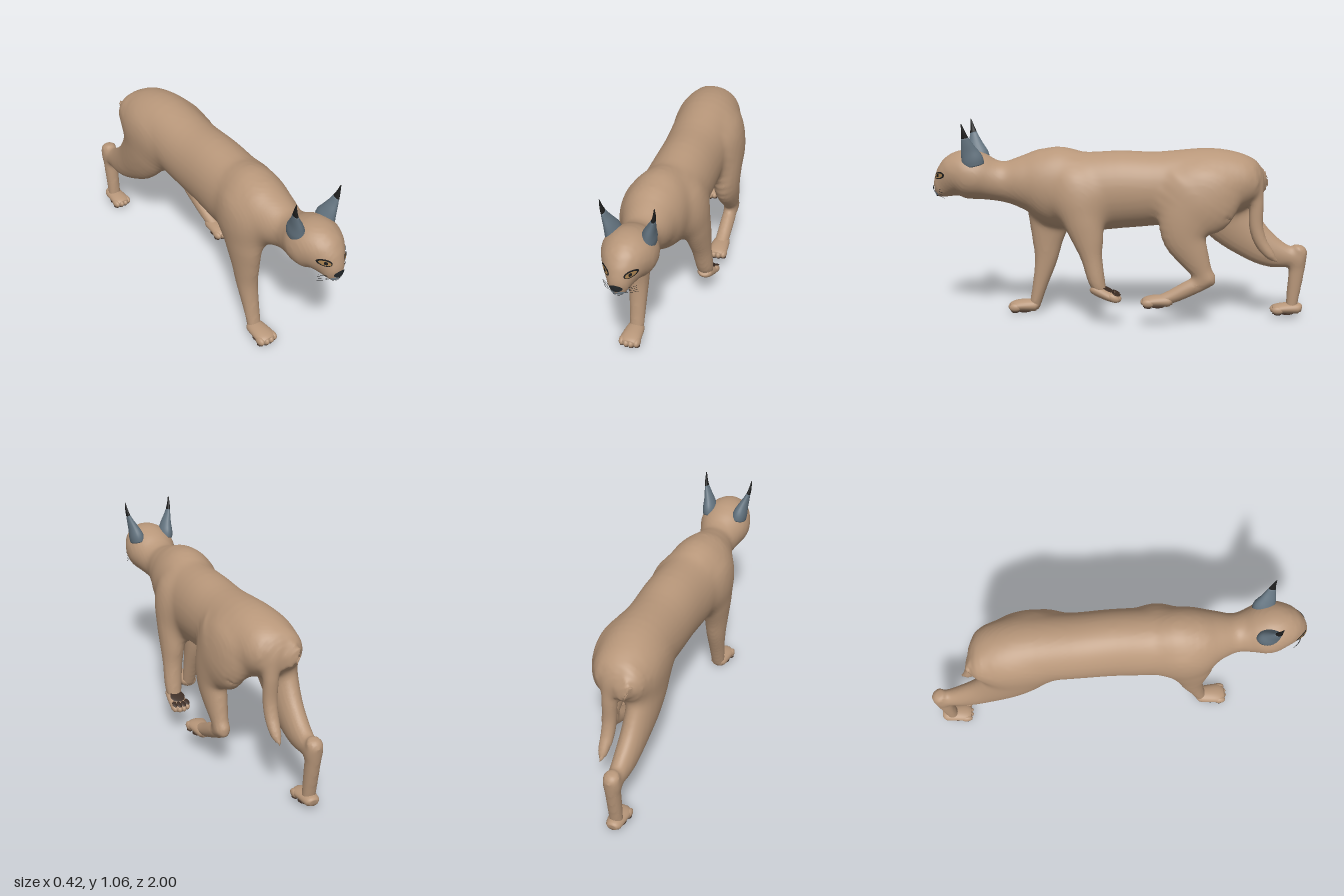
import * as THREE from 'three';

const mat = (name, color, side = THREE.FrontSide) => {
  const m = new THREE.MeshStandardMaterial({ color, side });
  m.name = name;
  return m;
};

function makeGeometry(pos, index) {
  const g = new THREE.BufferGeometry();
  g.setAttribute('position', new THREE.Float32BufferAttribute(pos, 3));
  g.setIndex(index);
  g.computeVertexNormals();
  return g;
}

// Smooth rings through stations [x, y, z, halfWidth, halfHeight]
function sections(stations, n) {
  const spline = (pts) => new THREE.CatmullRomCurve3(pts, false, 'catmullrom', 0.5);
  const path = spline(stations.map((s) => new THREE.Vector3(s[0], s[1], s[2])));
  const size = spline(stations.map((s) => new THREE.Vector3(s[3], s[4], 0)));
  return Array.from({ length: n + 1 }, (_, i) => {
    const r = size.getPoint(i / n);
    return { c: path.getPoint(i / n), dir: path.getTangent(i / n), w: Math.max(r.x, 0.002), h: Math.max(r.y, 0.002) };
  });
}

function frame(dir) {
  const up = dir.clone().cross(new THREE.Vector3(1, 0, 0)).normalize();
  return { up, side: up.clone().cross(dir).normalize() };
}

// Closed tube over the rings, for small separate parts
function loft(stations, rings = 20, sides = 24) {
  const list = sections(stations, rings), pos = [], index = [];
  list.forEach(({ c, dir, w, h }, i) => {
    const { up, side } = frame(dir);
    for (let j = 0; j < sides; j++) {
      const a = (j / sides) * Math.PI * 2, k = (j + 1) % sides, p = i * sides, q = p + sides;
      pos.push(...c.clone().addScaledVector(side, w * Math.cos(a)).addScaledVector(up, h * Math.sin(a)));
      if (i < rings) index.push(p + j, p + k, q + j, p + k, q + k, q + j);
    }
  });
  const n = pos.length / 3, e = rings * sides;
  pos.push(...list[0].c, ...list[rings].c);
  for (let j = 0; j < sides; j++) index.push(n, (j + 1) % sides, j, n + 1, e + j, e + ((j + 1) % sides));
  return makeGeometry(pos, index);
}

// Distance to the same kind of tube, so that several can melt into one skin
function tubeField(stations, n) {
  const list = sections(stations, n), box = new THREE.Box3();
  list.forEach((s) => box.union(new THREE.Box3().setFromCenterAndSize(s.c, new THREE.Vector3().setScalar(2 * Math.max(s.w, s.h)))));
  box.expandByScalar(0.07);
  const segments = list.slice(1).map((b, i) => {
    const a = list[i], d = b.c.clone().sub(a.c), len = d.length(), dir = d.normalize();
    return { a, b, len, dir, ...frame(dir) };
  });
  const rel = new THREE.Vector3(), over = 0.01;
  return (p) => {
    if (!box.containsPoint(p)) return 1;
    let best = 1;
    for (const { a, b, len, dir, up, side } of segments) {
      rel.subVectors(p, a.c);
      const along = rel.dot(dir), l = Math.min(Math.max(along, -over), len + over), gap = Math.abs(along - l);
      if (gap >= best || gap > 0.1) continue;
      const t = l / len, w = Math.max(a.w + (b.w - a.w) * t, 0.004), h = Math.max(a.h + (b.h - a.h) * t, 0.004);
      const s = rel.dot(side) / w, u = rel.dot(up) / h;
      const k = Math.sqrt(s * s + u * u), g = Math.sqrt((s / w) ** 2 + (u / h) ** 2) + 1e-6;
      const d = (k * (k - 1)) / g;
      best = Math.min(best, gap > 0 ? Math.hypot(Math.max(d, 0), gap) : d);
    }
    return best;
  };
}

// One smooth skin around a field, by surface nets on a regular grid
function skin(field, min, max, step) {
  const n = min.map((v, i) => Math.ceil((max[i] - v) / step) + 1), S = [1, n[0], n[0] * n[1]];
  const f = new Float32Array(n[0] * n[1] * n[2]), vertex = new Int32Array(f.length), p = new THREE.Vector3();
  const each = (end, fn) => {
    for (let k = 0; k < n[2] - end; k++) for (let j = 0; j < n[1] - end; j++)
      for (let i = 0; i < n[0] - end; i++) fn(i, j, k, i + j * S[1] + k * S[2]);
  };
  each(0, (i, j, k, o) => { f[o] = field(p.set(min[0] + i * step, min[1] + j * step, min[2] + k * step)); });
  const pos = [], index = [], sum = [0, 0, 0];
  each(1, (i, j, k, o) => {
    let hits = 0;
    sum.fill(0);
    for (let a = 0; a < 3; a++) for (let c = 0; c < 4; c++) {
      const b = (a + 1) % 3, d = (a + 2) % 3, u = c & 1, v = c >> 1;
      const from = f[o + u * S[b] + v * S[d]], to = f[o + u * S[b] + v * S[d] + S[a]];
      if (from < 0 === to < 0) continue;
      sum[a] += from / (from - to); sum[b] += u; sum[d] += v; hits++;
    }
    if (!hits) return;
    vertex[o] = pos.length / 3;
    [i, j, k].forEach((g, a) => pos.push(min[a] + (g + sum[a] / hits) * step));
    for (let a = 0; a < 3; a++) {
      if (f[o] < 0 === f[o + S[a]] < 0) continue;
      const b = S[(a + 1) % 3], d = S[(a + 2) % 3];
      const q = [o, o - b, o - b - d, o - d].map((c) => vertex[c]);
      if (f[o] >= 0) q.reverse();
      index.push(q[0], q[1], q[2], q[0], q[2], q[3]);
    }
  });
  // Relax the grid pattern
  for (let pass = 0; pass < 3; pass++) {
    const acc = new Float32Array(pos.length), count = new Float32Array(pos.length / 3);
    index.forEach((a, m) => {
      const b = index[m % 3 === 2 ? m - 2 : m + 1];
      for (let c = 0; c < 3; c++) acc[a * 3 + c] += pos[b * 3 + c];
      count[a]++;
    });
    for (let m = 0; m < pos.length; m++) pos[m] = (pos[m] + acc[m] / count[Math.floor(m / 3)]) / 2;
  }
  return makeGeometry(pos, index);
}

export function createModel() {
  const model = new THREE.Group();
  model.name = 'wildCat';
  const fur = mat('tan fur', 0xb8977a), grey = mat('ear grey', 0x647480);
  const black = mat('black', 0x1d1d1d, THREE.DoubleSide), nose = mat('nose', 0x23282b);
  const pale = mat('pale muzzle', 0x8996a0), amber = mat('amber eye', 0xa98250), pad = mat('paw pad', 0x3b2b22);
  const add = (name, geometry, material, parent = model) => {
    const m = new THREE.Mesh(geometry, material);
    m.name = name;
    parent.add(m);
    return m;
  };

  // Tubes melt into the skin one after another
  let field = () => 1;
  const melt = (blend, stations, n = 26) => {
    const base = field, tube = tubeField(stations, n);
    field = (p) => {
      const d = base(p), e = tube(p), h = Math.max(blend - Math.abs(d - e), 0);
      return Math.min(d, e) - (d < 1 ? (h * h) / (4 * blend) : 0);
    };
  };
  // Trunk along z: z, top, bottom, centre x, half width
  const trunk = (row) => [row[3], (row[1] + row[2]) / 2, row[0], row[4], (row[1] - row[2]) / 2];
  const torso = [
    [-0.75, 0.79, 0.73, -0.04, 0.03], [-0.735, 0.825, 0.69, -0.045, 0.085], [-0.69, 0.875, 0.64, -0.045, 0.13],
    [-0.6, 0.912, 0.595, -0.03, 0.162], [-0.45, 0.929, 0.56, -0.015, 0.172], [-0.2, 0.908, 0.52, -0.012, 0.167],
    [0, 0.912, 0.5, -0.01, 0.168], [0.2, 0.902, 0.483, -0.016, 0.17], [0.35, 0.929, 0.508, -0.03, 0.165],
    [0.44, 0.915, 0.55, -0.035, 0.155]].map(trunk);
  const neckAndHead = [
    [0.53, 0.878, 0.595, -0.03, 0.128], [0.62, 0.847, 0.628, -0.025, 0.101], [0.69, 0.857, 0.638, -0.023, 0.112],
    [0.76, 0.891, 0.641, -0.022, 0.134], [0.82, 0.908, 0.646, -0.022, 0.134], [0.87, 0.89, 0.648, -0.022, 0.117],
    [0.91, 0.848, 0.645, -0.022, 0.093], [0.945, 0.795, 0.643, -0.022, 0.067], [0.975, 0.75, 0.648, -0.022, 0.046],
    [0.992, 0.725, 0.668, -0.022, 0.026]].map(trunk);
  melt(0.01, torso.concat(neckAndHead), 70);
  // Right front leg
  melt(0.055, [
    [-0.08, 0.84, 0.33, 0.03, 0.04], [-0.105, 0.77, 0.34, 0.08, 0.1], [-0.122, 0.67, 0.365, 0.088, 0.14],
    [-0.127, 0.55, 0.39, 0.077, 0.125], [-0.124, 0.42, 0.407, 0.064, 0.088], [-0.12, 0.3, 0.417, 0.054, 0.063],
    [-0.116, 0.16, 0.45, 0.044, 0.042], [-0.115, 0.03, 0.483, 0.038, 0.03]]);
  // Left front leg, lifted
  melt(0.055, [
    [0.055, 0.82, 0.24, 0.03, 0.04], [0.08, 0.76, 0.235, 0.07, 0.085], [0.103, 0.67, 0.22, 0.08, 0.115],
    [0.118, 0.56, 0.19, 0.074, 0.104], [0.129, 0.46, 0.163, 0.063, 0.082], [0.138, 0.36, 0.142, 0.052, 0.056],
    [0.148, 0.24, 0.115, 0.046, 0.044], [0.15, 0.178, 0.085, 0.034, 0.025]]);
  // Left hind leg, then its hock and foot
  melt(0.055, [
    [0.06, 0.83, -0.49, 0.03, 0.05], [0.09, 0.77, -0.47, 0.078, 0.14], [0.115, 0.68, -0.43, 0.088, 0.19],
    [0.128, 0.59, -0.36, 0.08, 0.16], [0.138, 0.49, -0.34, 0.068, 0.118], [0.14, 0.38, -0.39, 0.055, 0.082],
    [0.14, 0.262, -0.455, 0.036, 0.042]]);
  melt(0.025, [
    [0.14, 0.28, -0.49, 0.022, 0.018], [0.14, 0.26, -0.465, 0.034, 0.04], [0.14, 0.212, -0.37, 0.038, 0.043],
    [0.14, 0.162, -0.27, 0.038, 0.036], [0.14, 0.138, -0.19, 0.036, 0.024]]);
  // Right hind leg, trailing, then its hock and foot
  melt(0.055, [
    [-0.07, 0.83, -0.45, 0.03, 0.05], [-0.095, 0.77, -0.47, 0.075, 0.13], [-0.114, 0.66, -0.51, 0.083, 0.18],
    [-0.115, 0.54, -0.58, 0.077, 0.15], [-0.11, 0.43, -0.69, 0.065, 0.112], [-0.106, 0.355, -0.81, 0.055, 0.083],
    [-0.105, 0.325, -0.95, 0.036, 0.04]]);
  melt(0.025, [
    [-0.105, 0.385, -0.967, 0.028, 0.022], [-0.105, 0.36, -0.956, 0.041, 0.04], [-0.105, 0.23, -0.937, 0.039, 0.041],
    [-0.105, 0.045, -0.915, 0.036, 0.03]]);
  // Hanging tail
  melt(0.02, [
    [0, 0.82, -0.62, 0.03, 0.03], [0.003, 0.76, -0.695, 0.038, 0.042], [0.008, 0.65, -0.714, 0.04, 0.039],
    [0.01, 0.53, -0.713, 0.038, 0.038], [0.012, 0.44, -0.738, 0.036, 0.035], [0.014, 0.37, -0.788, 0.029, 0.027],
    [0.014, 0.332, -0.828, 0.011, 0.009]]);
  const body = add('body', skin(field, [-0.26, -0.02, -1.03], [0.26, 0.97, 1.03], 0.0115), fur);

  // Paws: rounded foot, four toes and dark pads below, toes towards local +z
  const sphere = new THREE.SphereGeometry(1, 20, 14);
  function paw(name, x, y, z, s = 1, pitch = 0) {
    const g = new THREE.Group();
    g.name = name;
    g.position.set(x, y, z);
    g.rotation.x = pitch;
    g.scale.set(s, s, 1);
    model.add(g);
    const blob = (part, material, size, at) => {
      const m = add(part, sphere, material, g);
      m.scale.set(...size);
      m.position.set(...at);
    };
    add('foot', loft([[0, 0.028, -0.085, 0.025, 0.018], [0, 0.032, -0.065, 0.042, 0.031],
      [0, 0.032, 0, 0.05, 0.03], [0, 0.028, 0.045, 0.051, 0.026], [0, 0.024, 0.07, 0.036, 0.019]]), fur, g);
    for (let k = -1.5; k < 2; k++) {
      const tz = 0.055 - Math.abs(k) * 0.008;
      blob('toe', fur, [0.018, 0.022, 0.033], [k * 0.025, 0.024, tz]);
      blob('toePad', pad, [0.014, 0.004, 0.02], [k * 0.025, 0.001, tz]);
    }
    blob('heelPad', pad, [0.042, 0.004, 0.038], [0, 0.001, -0.005]);
  }
  paw('rightFrontPaw', -0.117, 0.004, 0.543, 1.05);
  paw('leftFrontPaw', 0.15, 0.2, 0.053, 0.95, Math.PI - 0.46);
  paw('leftHindPaw', 0.14, 0.11, -0.198);
  paw('rightHindPaw', -0.105, 0.02, -0.886, 0.95);

  // Thin patches laid over the face
  const ray = new THREE.Raycaster(), forward = new THREE.Vector3(0, 0, -1);
  function patch(name, material, cx, cy, rx, ry, lift, tilt = 0) {
    const g = new THREE.RingGeometry(0.001, 1, 20, 2), p = g.attributes.position;
    for (let i = 0; i < p.count; i++) {
      const u = p.getX(i) * rx, v = p.getY(i) * ry;
      const x = cx + u * Math.cos(tilt) - v * Math.sin(tilt), y = cy + u * Math.sin(tilt) + v * Math.cos(tilt);
      ray.set(new THREE.Vector3(x, y, 2), forward);
      const hit = ray.intersectObject(body)[0];
      p.setXYZ(i, x, y, (hit ? hit.point.z : 0.95) + lift);
    }
    g.computeVertexNormals();
    add(name, g, material);
  }
  const mid = -0.022;
  patch('nosePad', nose, mid, 0.709, 0.033, 0.019, 0.007);
  patch('mouth', black, mid, 0.66, 0.024, 0.003, 0.007);

  for (const s of [-1, 1]) {
    const side = s < 0 ? 'right' : 'left', ex = (d) => mid + s * d;
    // Eyes and muzzle
    patch(side + 'EyeRim', black, ex(0.063), 0.776, 0.028, 0.019, 0.004, s * 0.3);
    patch(side + 'Iris', amber, ex(0.063), 0.775, 0.022, 0.0125, 0.006, s * 0.3);
    patch(side + 'Pupil', black, ex(0.062), 0.776, 0.007, 0.009, 0.008);
    patch(side + 'Muzzle', pale, ex(0.019), 0.677, 0.019, 0.013, 0.005);

    // Tall tufted ears
    add(side + 'Ear', loft([[ex(0.084), 0.838, 0.772, 0.04, 0.058], [ex(0.09), 0.87, 0.778, 0.038, 0.058],
      [ex(0.1), 0.91, 0.79, 0.028, 0.045], [ex(0.113), 0.95, 0.8, 0.018, 0.03],
      [ex(0.123), 0.985, 0.808, 0.01, 0.019]]), grey);
    add(side + 'EarTuft', loft([[ex(0.123), 0.984, 0.808, 0.0104, 0.0194], [ex(0.129), 1.015, 0.814, 0.007, 0.011],
      [ex(0.133), 1.058, 0.823, 0.002, 0.002]]), black);

    // Whiskers
    for (let k = 0; k < 4; k++) {
      const y = 0.694 - k * 0.009;
      add(side + 'Whisker', new THREE.TubeGeometry(new THREE.QuadraticBezierCurve3(
        new THREE.Vector3(ex(0.035), y, 0.97), new THREE.Vector3(ex(0.06), y + 0.006, 0.97),
        new THREE.Vector3(ex(0.085), y + 0.008 - k * 0.006, 0.945 - k * 0.005)), 8, 0.0009, 4), black);
    }
  }
  return model;
}
